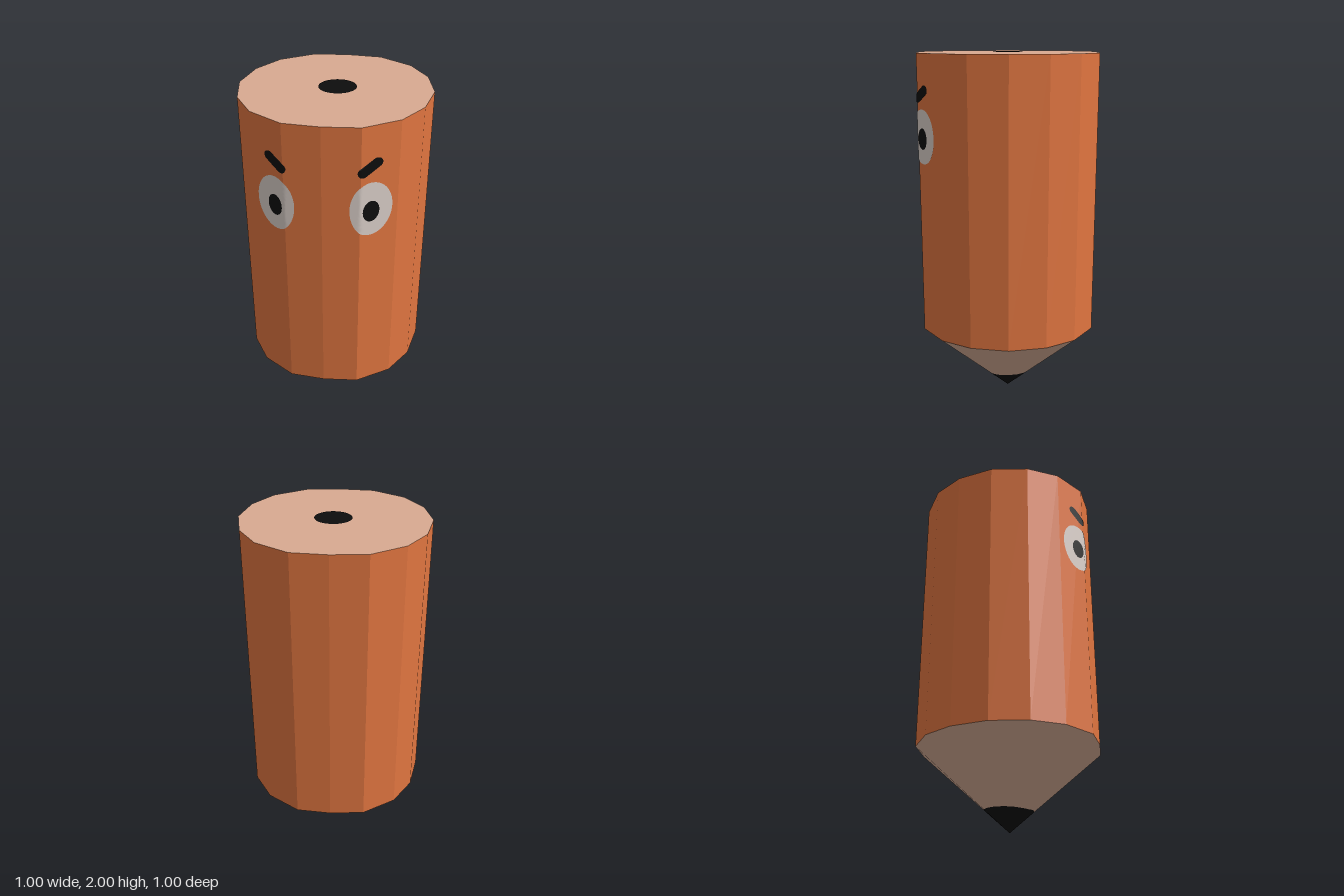
import * as THREE from 'three';

const material = (name, color) => {
  const m = new THREE.MeshStandardMaterial({ color });
  m.name = name;
  return m;
};

// Sixteen-sided outline, one quarter as [x, z], mirrored all the way round
const quarter = [[0.5, 0], [0.46, 0.205], [0.36, 0.367], [0.187, 0.482], [0, 0.498]];
const half = [...quarter, ...quarter.slice(0, 4).reverse().map(([x, z]) => [-x, z])];
const outline = [...half, ...half.slice(1, 8).reverse().map(([x, z]) => [x, -z])];

const TOP = 2, SHOULDER = 0.45;
const ringAt = (y) => outline.map(([x, z]) => [x, y, z]);
const pointAt = (y) => outline.map(() => [0, y, 0]);

// Flat-faced skin between a lower and an upper ring; either may be a point
function loft(lower, upper) {
  const pos = [];
  const same = (a, b) => a.every((v, i) => v === b[i]);
  lower.forEach((a, i) => {
    const j = (i + 1) % lower.length;
    const b = lower[j], c = upper[i], d = upper[j];
    if (!same(a, b)) pos.push(...b, ...a, ...c);
    if (!same(c, d)) pos.push(...b, ...c, ...d);
  });
  const g = new THREE.BufferGeometry();
  g.setAttribute('position', new THREE.Float32BufferAttribute(pos, 3));
  g.computeVertexNormals();
  return g;
}

// Depth of the faceted front wall at x
function wallZ(x) {
  const ax = Math.abs(x);
  for (let i = 0; i < 4; i++) {
    const [x0, z0] = quarter[i], [x1, z1] = quarter[i + 1];
    if (ax >= x1) return z1 + ((z0 - z1) * (ax - x1)) / (x0 - x1);
  }
  return quarter[4][1];
}

// Thin oval laid over the wall; stretch lengthens it into a rounded bar
function decal(cx, cy, rx, ry, lift, angle = 0, stretch = 0) {
  const g = new THREE.RingGeometry(0, 1, 40, 12);
  const p = g.attributes.position;
  for (let i = 0; i < p.count; i++) {
    const u = p.getX(i), v = p.getY(i);
    const r = Math.hypot(u, v);
    const side = Math.abs(u) < 1e-6 ? 0 : Math.sign(u);
    const px = u * rx + side * stretch * r, py = v * ry;
    const x = cx + px * Math.cos(angle) - py * Math.sin(angle);
    const y = cy + px * Math.sin(angle) + py * Math.cos(angle);
    p.setXYZ(i, x, y, wallZ(x) + lift);
  }
  g.computeVertexNormals();
  return g;
}

export function createModel() {
  const model = new THREE.Group();
  model.name = 'pencil';
  const paint = material('orange paint', 0xe07540);
  const endWood = material('end wood', 0xd9aa91);
  const cutWood = material('sharpened wood', 0xd6ad96);
  const lead = material('black lead', 0x0d0d0d);
  const white = material('eye white', 0xdbd0ca);

  const add = (name, geometry, mat) => {
    const mesh = new THREE.Mesh(geometry, mat);
    mesh.name = name;
    model.add(mesh);
    return mesh;
  };

  // Painted barrel and its wooden end
  add('barrel', loft(ringAt(SHOULDER), ringAt(TOP)), paint);
  add('endCap', loft(ringAt(TOP), pointAt(TOP)), endWood);
  const core = add('endLead', new THREE.CircleGeometry(0.098, 40), lead);
  core.rotation.x = -Math.PI / 2;
  core.position.set(0.01, TOP + 0.003, 0);

  // Sharpened cone, divided where a slightly off-centre circle cuts its edges
  const cx = 0.01, cz = -0.008, radius = 0.137;
  const cut = outline.map(([x, z]) => {
    const a = x * x + z * z, b = x * cx + z * cz;
    const t = (b + Math.sqrt(b * b - a * (cx * cx + cz * cz - radius * radius))) / a;
    return [x * t, SHOULDER * t, z * t];
  });
  add('sharpenedCone', loft(cut, ringAt(SHOULDER)), cutWood);
  add('leadTip', loft(pointAt(0), cut), lead);

  // Face: eyes, pupils and slanted brows
  for (const [label, s] of [['left', 1], ['right', -1]]) {
    add(label + 'Eye', decal(s * 0.235, 1.565, 0.1, 0.146, 0.004), white);
    add(label + 'Pupil', decal(s * 0.237, 1.555, 0.038, 0.057, 0.007), lead);
    add(label + 'Brow', decal(s * 0.228, 1.79, 0.026, 0.026, 0.004, s * 0.6, 0.037), lead);
  }
  return model;
}
